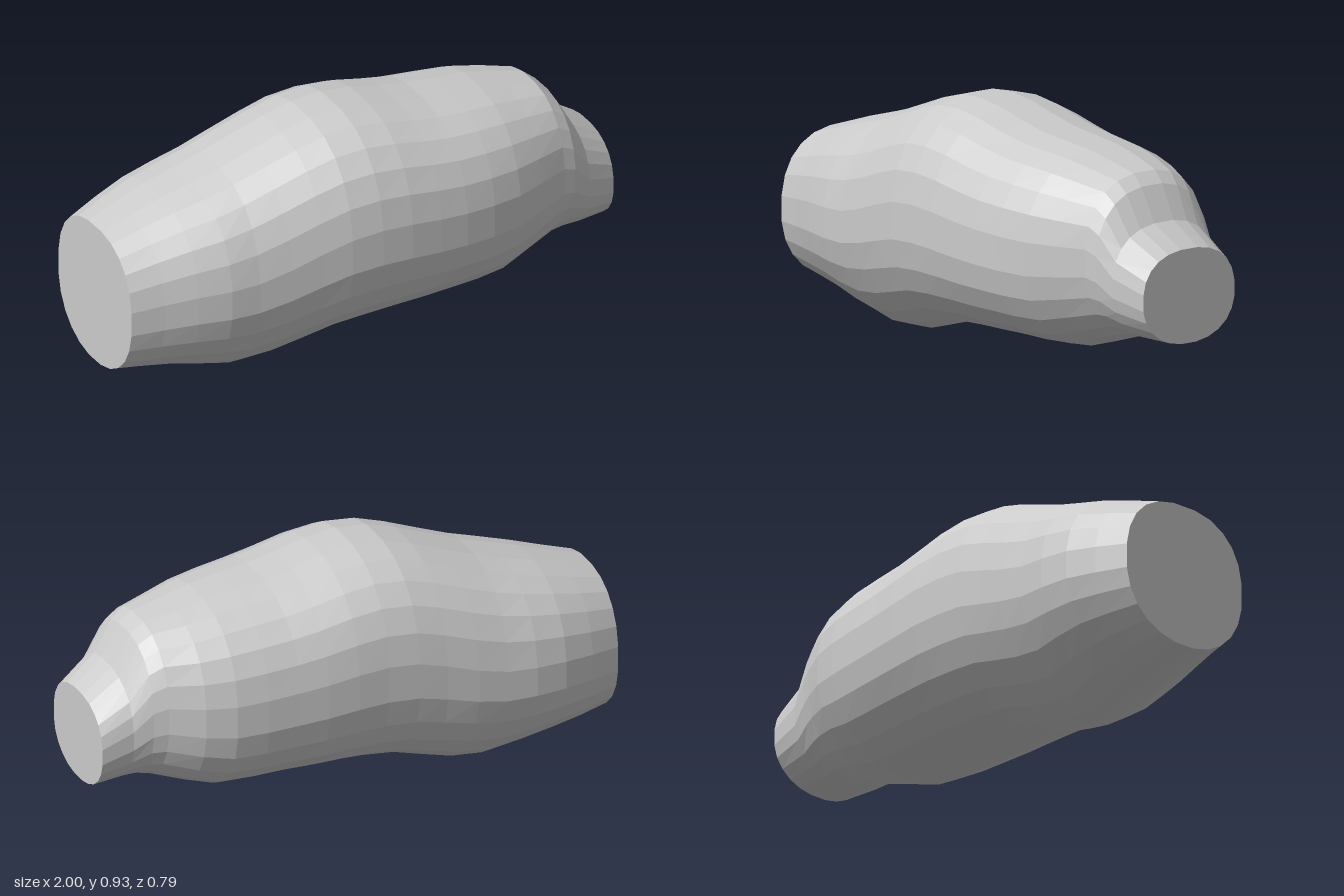
import * as THREE from 'three';

// Cross-sections along the body: x, bottom y, top y, back z, front z
const SECTIONS = [
  [-1, 0.10, 0.65, -0.305, 0.24],
  [-0.88, 0.08, 0.69, -0.35, 0.27],
  [-0.76, 0.06, 0.73, -0.385, 0.305],
  [-0.64, 0.03, 0.765, -0.40, 0.335],
  [-0.53, 0, 0.80, -0.40, 0.345],
  [-0.41, 0.01, 0.845, -0.40, 0.36],
  [-0.29, 0.045, 0.89, -0.395, 0.375],
  [-0.18, 0.08, 0.922, -0.395, 0.39],
  [-0.06, 0.095, 0.932, -0.395, 0.398],
  [0.06, 0.105, 0.917, -0.40, 0.40],
  [0.18, 0.11, 0.89, -0.40, 0.395],
  [0.29, 0.115, 0.87, -0.395, 0.387],
  [0.41, 0.115, 0.858, -0.39, 0.37],
  [0.53, 0.12, 0.845, -0.38, 0.342],
  [0.64, 0.155, 0.822, -0.35, 0.30],
  [0.76, 0.195, 0.797, -0.29, 0.25],
  [0.81, 0.205, 0.757, -0.27, 0.24],
  [0.88, 0.21, 0.635, -0.25, 0.22],
  [1, 0.207, 0.555, -0.243, 0.175],
];
const SIDES = 24;

// Signed power, for rounded-square cross-sections
const spow = (v, p) => Math.sign(v) * Math.abs(v) ** p;

function ringPoint([x, bottom, top, back, front], j) {
  const t = ((j + 0.5) / SIDES) * Math.PI * 2;
  const mid = bottom + (top - bottom) * 0.49;
  const c = Math.cos(t), s = Math.sin(t);
  // Boxier above the middle, more pointed below where the belly bulges
  const n = s > 0 ? 2.4 : THREE.MathUtils.lerp(1.85, 2.2, Math.min(bottom / 0.11, 1));
  const y = mid + spow(s, 2 / n) * (s > 0 ? top - mid : mid - bottom);
  const z = (front + back) / 2 + spow(c, 2 / n) * (front - back) / 2;
  return [x, y, z];
}

function bodyGeometry() {
  const positions = [], index = [];
  SECTIONS.forEach((section) => {
    for (let j = 0; j < SIDES; j++) positions.push(...ringPoint(section, j));
  });
  // Skin between neighbouring rings
  const last = SECTIONS.length - 1;
  for (let i = 0; i < last; i++) {
    for (let j = 0; j < SIDES; j++) {
      const k = (j + 1) % SIDES;
      const a = i * SIDES + j, b = a + SIDES;
      const d = i * SIDES + k, c = d + SIDES;
      index.push(a, b, c, a, c, d);
    }
  }
  // Flat ends
  const end = last * SIDES;
  for (let j = 1; j < SIDES - 1; j++) {
    index.push(0, j, j + 1);
    index.push(end, end + j + 1, end + j);
  }
  const geometry = new THREE.BufferGeometry();
  geometry.setAttribute('position', new THREE.Float32BufferAttribute(positions, 3));
  geometry.setIndex(index);
  geometry.computeVertexNormals();
  return geometry;
}

export function createModel() {
  const group = new THREE.Group();
  const material = new THREE.MeshStandardMaterial({ color: 0xcccccc, flatShading: true });
  const body = new THREE.Mesh(bodyGeometry(), material);
  body.name = 'body';
  group.add(body);
  return group;
}
